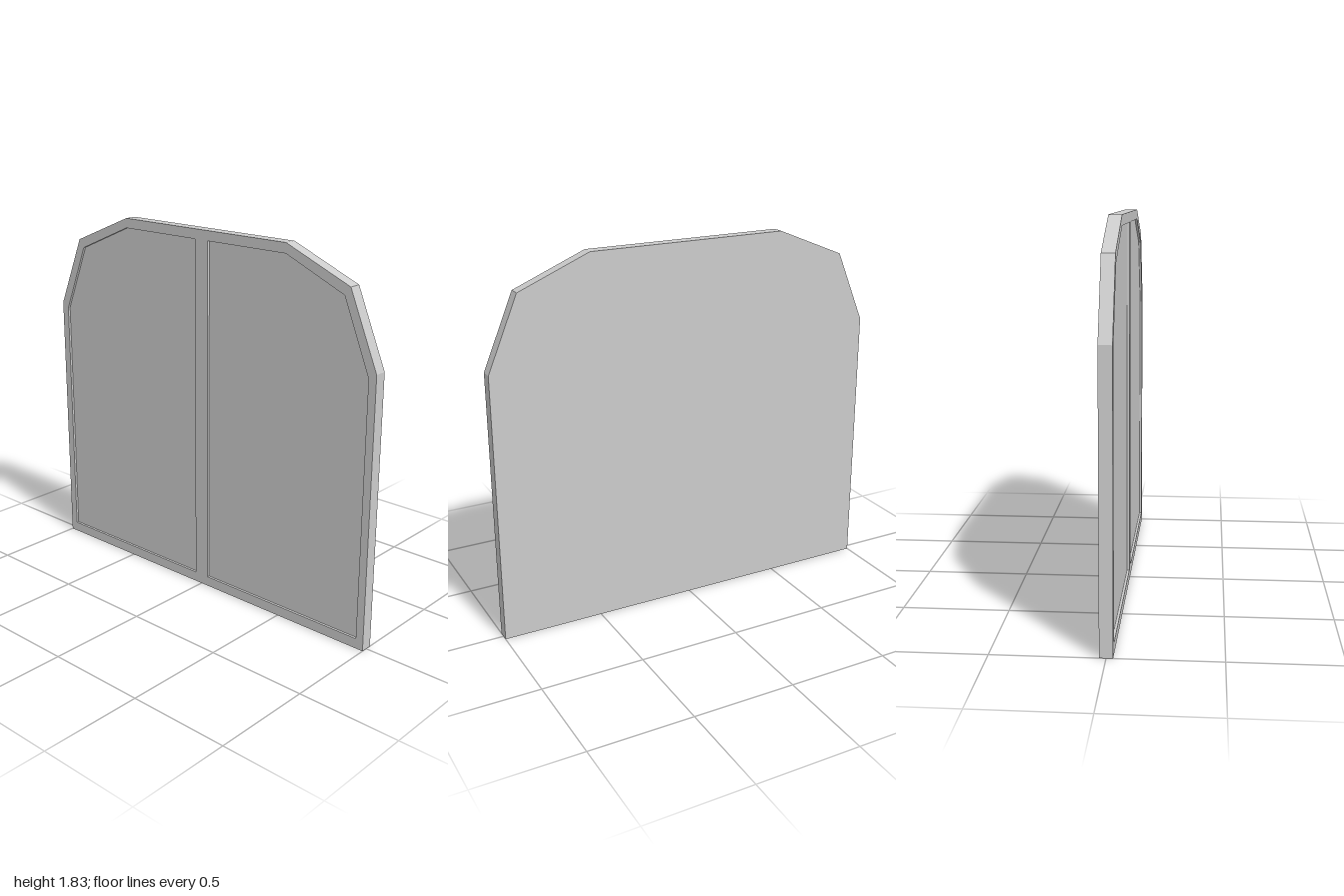
import * as THREE from 'three';

const FRONT = 0.03, BACK = -0.03, RECESS = 0.018;

const toPoints = (list) => list.map(([x, y]) => new THREE.Vector2(x, y));
const mirror = (list) => list.map(([x, y]) => [-x, y]).reverse();

// Flat-sided wall along a closed loop; faces outward for a counter-clockwise loop
function wallGeometry(loop, z0, z1) {
  const pos = [];
  loop.forEach(([ax, ay], i) => {
    const [bx, by] = loop[(i + 1) % loop.length];
    pos.push(ax, ay, z0, bx, by, z0, bx, by, z1);
    pos.push(ax, ay, z0, bx, by, z1, ax, ay, z1);
  });
  const geo = new THREE.BufferGeometry();
  geo.setAttribute('position', new THREE.Float32BufferAttribute(pos, 3));
  geo.computeVertexNormals();
  return geo;
}

export function createModel() {
  const group = new THREE.Group();
  group.name = 'doublePanel';
  const material = new THREE.MeshStandardMaterial({ color: 0xcccccc, flatShading: true });
  const add = (name, geometry) => {
    const mesh = new THREE.Mesh(geometry, material);
    mesh.name = name;
    group.add(mesh);
    return mesh;
  };

  // Counter-clockwise outlines: whole body, then the two recessed panels
  const half = [[1, 0], [1, 1.325], [0.85, 1.68], [0.5, 1.825]];
  const outline = [...half, ...mirror(half)];
  const leftPanel = [[0.04, 0.05], [0.96, 0.05], [0.96, 1.3], [0.82, 1.64], [0.5, 1.777], [0.04, 1.777]];
  const panels = { left: leftPanel, right: mirror(leftPanel) };

  // Front rim and centre post
  const frame = new THREE.Shape(toPoints(outline));
  for (const loop of Object.values(panels)) frame.holes.push(new THREE.Path(toPoints(loop)));
  add('frontFrame', new THREE.ShapeGeometry(frame).translate(0, 0, FRONT));

  // Outer edge and plain back
  add('outerEdge', wallGeometry(outline, BACK, FRONT));
  const back = new THREE.ShapeGeometry(new THREE.Shape(toPoints(outline)));
  add('backFace', back.rotateY(Math.PI).translate(0, 0, BACK));

  // Recessed panels with their inner edges
  for (const [side, loop] of Object.entries(panels)) {
    const face = new THREE.ShapeGeometry(new THREE.Shape(toPoints(loop)));
    add(side + 'Panel', face.translate(0, 0, RECESS));
    add(side + 'PanelEdge', wallGeometry([...loop].reverse(), RECESS, FRONT));
  }
  return group;
}
